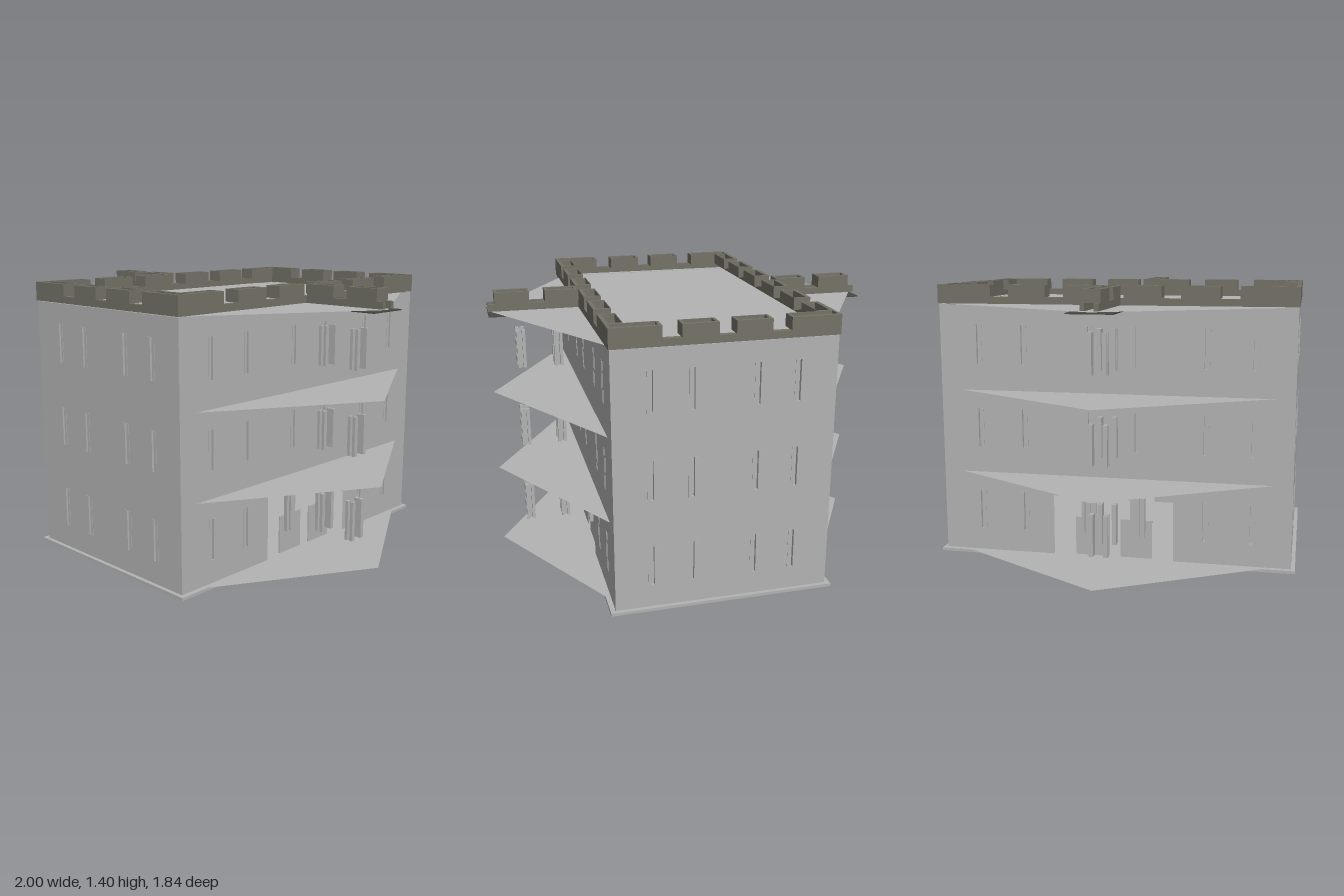
import * as THREE from 'three';

const mat = (name, color, side = THREE.FrontSide) => {
  const m = new THREE.MeshStandardMaterial({ color, side });
  m.name = name;
  return m;
};

export function createModel() {
  const root = new THREE.Group();
  const stone = mat('paleStone', 0xb3b3b3, THREE.DoubleSide);
  const trim = mat('darkStone', 0x747267);
  const slate = mat('slate', 0x4a4a45, THREE.DoubleSide);

  const W = 0.535, D = 0.9, ROOF = 1.3;     // half width, half depth, roof height
  const levels = [[0.13, 0.335], [0.57, 0.77], [1.0, 1.2]];
  const frontX = [-0.35, -0.155, 0.155, 0.35];
  const sideZ = [-0.7, -0.465, -0.12, 0.12, 0.465, 0.7];
  const winW = 0.045;

  const add = (parent, name, geo, material, x = 0, y = 0, z = 0) => {
    const m = new THREE.Mesh(geo, material);
    m.name = name;
    m.position.set(x, y, z);
    parent.add(m);
    return m;
  };
  const box = (parent, name, material, w, h, d, x, y, z) =>
    add(parent, name, new THREE.BoxGeometry(w, h, d), material, x, y, z);
  const group = (name, parent = root, turn = 0) => {
    const g = new THREE.Group();
    g.name = name;
    g.rotation.y = turn;
    parent.add(g);
    return g;
  };
  const rect = (C, x0, y0, x1, y1) => {
    const p = new C();
    p.moveTo(x0, y0);
    p.lineTo(x1, y0);
    p.lineTo(x1, y1);
    p.lineTo(x0, y1);
    p.closePath();
    return p;
  };

  // Narrow window: two upright strips before a recessed pane, facing local +z
  const addWindow = (parent, x, z, [y0, y1]) => {
    const h = y1 - y0, y = (y0 + y1) / 2;
    const w = group('window', parent);
    w.position.set(x, y, z);
    box(w, 'windowPane', stone, winW, h, 0.004, 0, 0, -0.018);
    for (const s of [-1, 1]) box(w, 'windowJamb', stone, 0.016, h, 0.02, s * 0.0145, 0, -0.008);
  };

  // Wall sheet with window holes, in a frame whose +z points outward
  const addWall = (name, turn, half, dist, columns, doorway) => {
    const g = group(name, root, turn);
    const s = new THREE.Shape();
    s.moveTo(-half, 0);
    if (doorway) {
      s.lineTo(-0.31, 0);
      s.lineTo(-0.31, 0.435);
      s.lineTo(0.31, 0.435);
      s.lineTo(0.31, 0);
    }
    s.lineTo(half, 0);
    s.lineTo(half, ROOF);
    s.lineTo(-half, ROOF);
    s.closePath();
    levels.forEach((lv, i) => columns.forEach((c) => {
      if (doorway && i === 0 && Math.abs(c) < 0.31) return;
      s.holes.push(rect(THREE.Path, c - winW / 2, lv[0], c + winW / 2, lv[1]));
      addWindow(g, c, dist, lv);
    }));
    add(g, 'wallFace', new THREE.ShapeGeometry(s), stone, 0, 0, dist);
    // Door leaves and the slim windows standing in the doorway
    if (doorway) for (const k of [-1, 1]) {
      box(g, 'doorLeaf', stone, 0.165, 0.2, 0.006, k * 0.117, 0.115, dist - 0.02);
      box(g, 'doorLight', stone, 0.04, 0.205, 0.006, k * 0.107, 0.232, dist - 0.012);
      addWindow(g, k * 0.142, dist, levels[0]);
    }
    return g;
  };
  addWall('frontWall', 0, W, D, frontX, false);
  addWall('backWall', Math.PI, W, D, frontX, false);
  addWall('leftWall', Math.PI / 2, D, W, sideZ, true);
  addWall('rightWall', -Math.PI / 2, D, W, sideZ, true);

  // Six-sided floor sheets and roof
  [0.015, 0.435, 0.865, ROOF].forEach((y, i) => {
    const f = add(root, i === 3 ? 'roof' : 'floor', new THREE.CircleGeometry(0.998, 6), stone, 0, y, 0);
    f.rotation.x = -Math.PI / 2;
  });
  // Roof corners beyond the six-sided sheet
  for (const s of [-1, 1]) box(root, 'roofEdge', stone, 2 * W, 0.004, 0.04, 0, ROOF, s * 0.88);

  // Plinth rim, broken at the doorways
  const plinth = group('plinth');
  for (const s of [-1, 1]) {
    box(plinth, 'plinthStrip', stone, 1.12, 0.015, 0.04, 0, 0.0075, s * 0.9);
    for (const k of [-1, 1]) box(plinth, 'plinthStrip', stone, 0.04, 0.015, 0.61, s * 0.54, 0.0075, k * 0.615);
  }

  // Merlon: open-topped hollow block, outer face at local +z
  const addMerlon = (parent, x0, x1, outer, depth, back) => {
    const s = rect(THREE.Shape, x0, -outer, x1, depth - outer);
    s.holes.push(rect(THREE.Path, x0 + 0.014, 0.02 - outer, x1 - 0.014, depth - back - outer));
    const geo = new THREE.ExtrudeGeometry(s, { depth: 0.06, bevelEnabled: false });
    geo.rotateX(-Math.PI / 2);
    add(parent, 'merlon', geo, trim, 0, 1.34, 0);
  };

  // Main parapet
  const endRow = [[-0.54, -0.3], [-0.21, -0.04], [0.04, 0.21], [0.3, 0.54]];
  const sideRow = [[-0.82, -0.625], [-0.53, -0.34], [-0.245, -0.058],
    [0.058, 0.245], [0.34, 0.53], [0.625, 0.82]];
  const addParapet = (name, turn, half, outer, row) => {
    const g = group(name, root, turn);
    box(g, 'parapetBand', trim, 2 * half, 0.035, 0.03, 0, 1.3225, outer - 0.015);
    row.forEach(([a, b]) => addMerlon(g, a, b, outer, 0.085, 0.004));
  };
  for (const t of [0, Math.PI]) {
    addParapet('endParapet', t, 0.54, 0.905, endRow);
    addParapet('sideParapet', t + Math.PI / 2, 0.905, 0.54, sideRow);
  }

  // Side wings: twin bands, merlons, slate slab and free-standing windows
  for (const t of [0, Math.PI]) {
    const g = group('wing', root, t);
    for (const s of [-1, 1]) {
      box(g, 'wingBand', trim, 0.46, 0.035, 0.022, 0.77, 1.3225, s * 0.032);
      const face = group('wingWindows', g, s > 0 ? 0 : Math.PI);
      for (const x of [0.652, 0.843]) for (const lv of levels) addWindow(face, s * x, 0.045, lv);
    }
    for (const [a, b] of [[0.545, 0.71], [0.79, 0.965]]) addMerlon(g, a, b, 0.045, 0.09, 0.02);
    box(g, 'wingSlab', slate, 0.42, 0.006, 0.22, 0.79, 1.294, 0);
  }

  return root;
}
